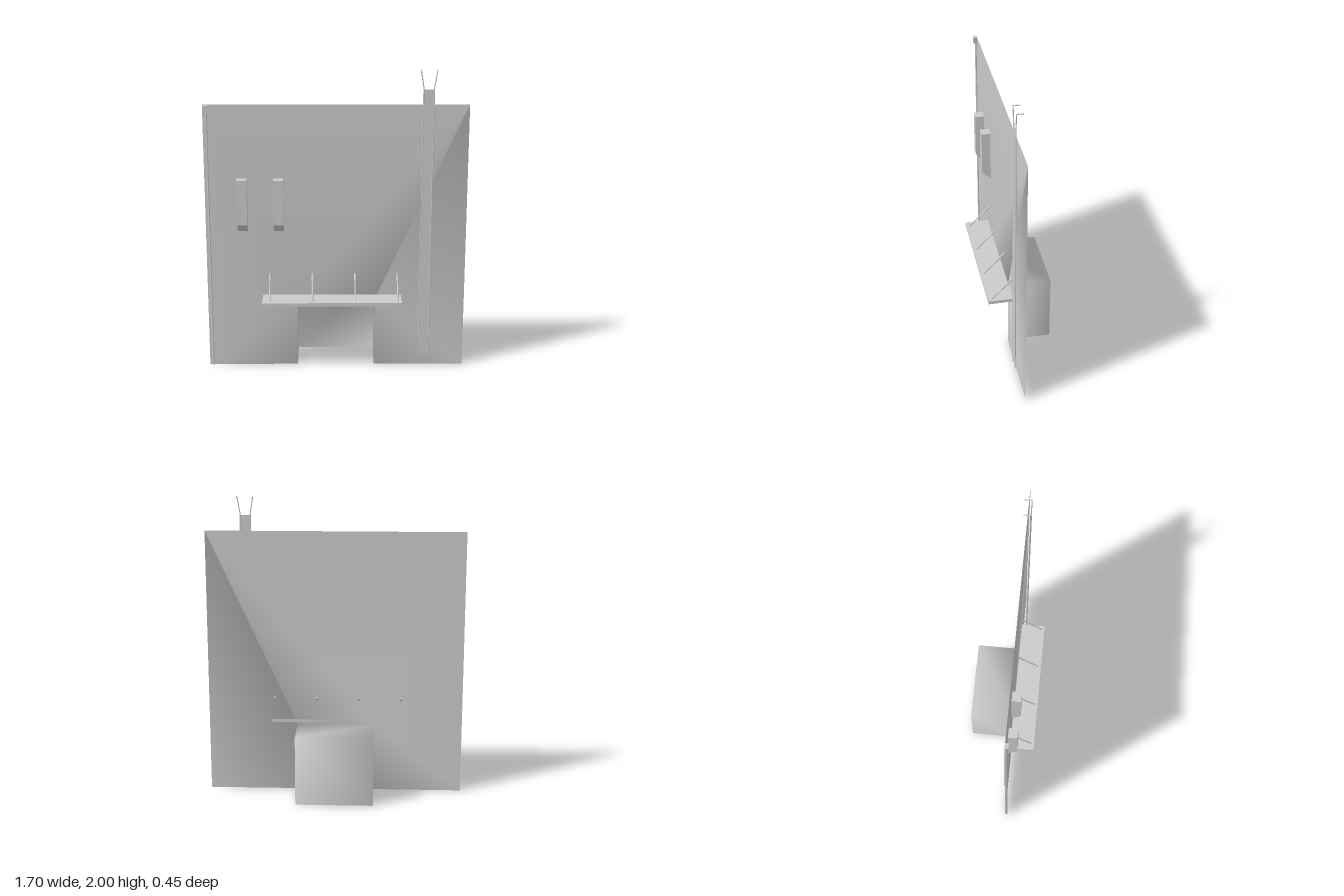
import * as THREE from 'three';

const WALL_Z = 0.065, RAIL_Z = 0.088, BACK_Z = -0.226;
const material = new THREE.MeshStandardMaterial({ color: 0xcccccc, side: THREE.DoubleSide });

function add(parent, name, geometry, x = 0, y = 0, z = 0) {
  const mesh = new THREE.Mesh(geometry, material);
  mesh.name = name;
  mesh.position.set(x, y, z);
  parent.add(mesh);
  return mesh;
}

// Straight round bar between two points
function bar(parent, name, from, to, radius, sides = 8) {
  const a = new THREE.Vector3(...from), b = new THREE.Vector3(...to);
  const mesh = add(parent, name, new THREE.CylinderGeometry(radius, radius, a.distanceTo(b), sides));
  mesh.position.copy(a).lerp(b, 0.5);
  mesh.quaternion.setFromUnitVectors(new THREE.Vector3(0, 1, 0), b.sub(a).normalize());
  return mesh;
}

// One open sheet: wall with an alcove pushed out of its back, softly shaded
function wallGeometry() {
  const W = 0.85, H = 1.78, L = -0.258, R = 0.255, T = 0.467;
  const outline = [[-W, 0], [L, 0], [L, T], [R, T], [R, 0], [W, 0], [W, H], [-W, H]];
  const points = [
    ...outline.map(([x, y]) => [x, y, WALL_Z]),
    ...outline.slice(1, 5).map(([x, y]) => [x, y, BACK_Z]),
  ];
  const quads = [
    [0, 1, 2, 7], [2, 3, 6, 7], [6, 3, 4, 5].reverse(), // wall face
    [1, 8, 9, 2], [2, 9, 10, 3], [3, 10, 11, 4],        // alcove sides and top
    [8, 11, 10, 9],                                     // alcove back
  ];
  const geometry = new THREE.BufferGeometry();
  geometry.setAttribute('position', new THREE.Float32BufferAttribute(points.flat(), 3));
  geometry.setIndex(quads.flatMap(([a, b, c, d]) => [a, b, c, a, c, d]));
  geometry.computeVertexNormals();
  return geometry;
}

// Box light with a sloping underside, its profile drawn in z and y
function lampGeometry(width) {
  const profile = new THREE.Shape([[0, 0], [0.06, 0.055], [0.06, 0.355], [0, 0.355]]
    .map(([z, y]) => new THREE.Vector2(-z, y)));
  const geometry = new THREE.ExtrudeGeometry(profile, { depth: width, bevelEnabled: false });
  return geometry.rotateY(Math.PI / 2).scale(1, 1, 1).translate(-width / 2, 0, 0);
}

export function createModel() {
  const model = new THREE.Group();
  model.name = 'storefrontWall';

  add(model, 'wall', wallGeometry());

  // Canopy over the alcove with its tie rods going through the wall
  const canopy = new THREE.Group();
  canopy.name = 'canopy';
  model.add(canopy);
  add(canopy, 'canopySlab', new THREE.BoxGeometry(0.913, 0.022, 0.161), -0.027, 0.487, 0.1455);
  for (const x of [-0.435, -0.155, 0.125, 0.405]) {
    bar(canopy, 'tieRod', [x, 0.497, 0.205], [x, 0.66, 0.046], 0.0055);
    bar(canopy, 'tieRodSleeve', [x, 0.605, 0.1], [x, 0.657, 0.049], 0.007);
  }

  // Pair of wall lights
  for (const x of [-0.608, -0.372]) {
    add(model, 'wallLight', lampGeometry(0.065), x, 0.942, WALL_Z);
  }

  // Drainpipe with a tapered hopper
  const drain = new THREE.Group();
  drain.name = 'drain';
  model.add(drain);
  add(drain, 'drainPipe', new THREE.CylinderGeometry(0.006, 0.006, 1.74, 8), -0.826, 0.87, 0.073);
  const hopper = new THREE.BoxGeometry(0.033, 0.045, 0.024);
  const p = hopper.attributes.position;
  for (let i = 0; i < p.count; i++) if (p.getY(i) < 0) p.setX(i, p.getX(i) * 0.7);
  hopper.computeVertexNormals();
  add(drain, 'drainHopper', hopper, -0.827, 1.755, 0.076);

  // Tall hanging banner between two rails that flare and hook back at the top
  const banner = new THREE.Group();
  banner.name = 'banner';
  model.add(banner);
  const centre = 0.586;
  add(banner, 'bannerPanel', new THREE.BoxGeometry(0.064, 1.785, 0.003), centre, 0.9875, RAIL_Z);
  for (const side of [-1, 1]) {
    const x = centre + side * 0.033, tip = centre + side * 0.051;
    bar(banner, 'rail', [x, 0.07, RAIL_Z], [x, 1.89, RAIL_Z], 0.004);
    bar(banner, 'railFlare', [x, 1.888, RAIL_Z], [tip, 1.997, RAIL_Z], 0.0035);
    bar(banner, 'railHook', [tip, 1.9965, RAIL_Z + 0.003], [tip, 1.9965, 0.042], 0.0035);
  }

  return model;
}
